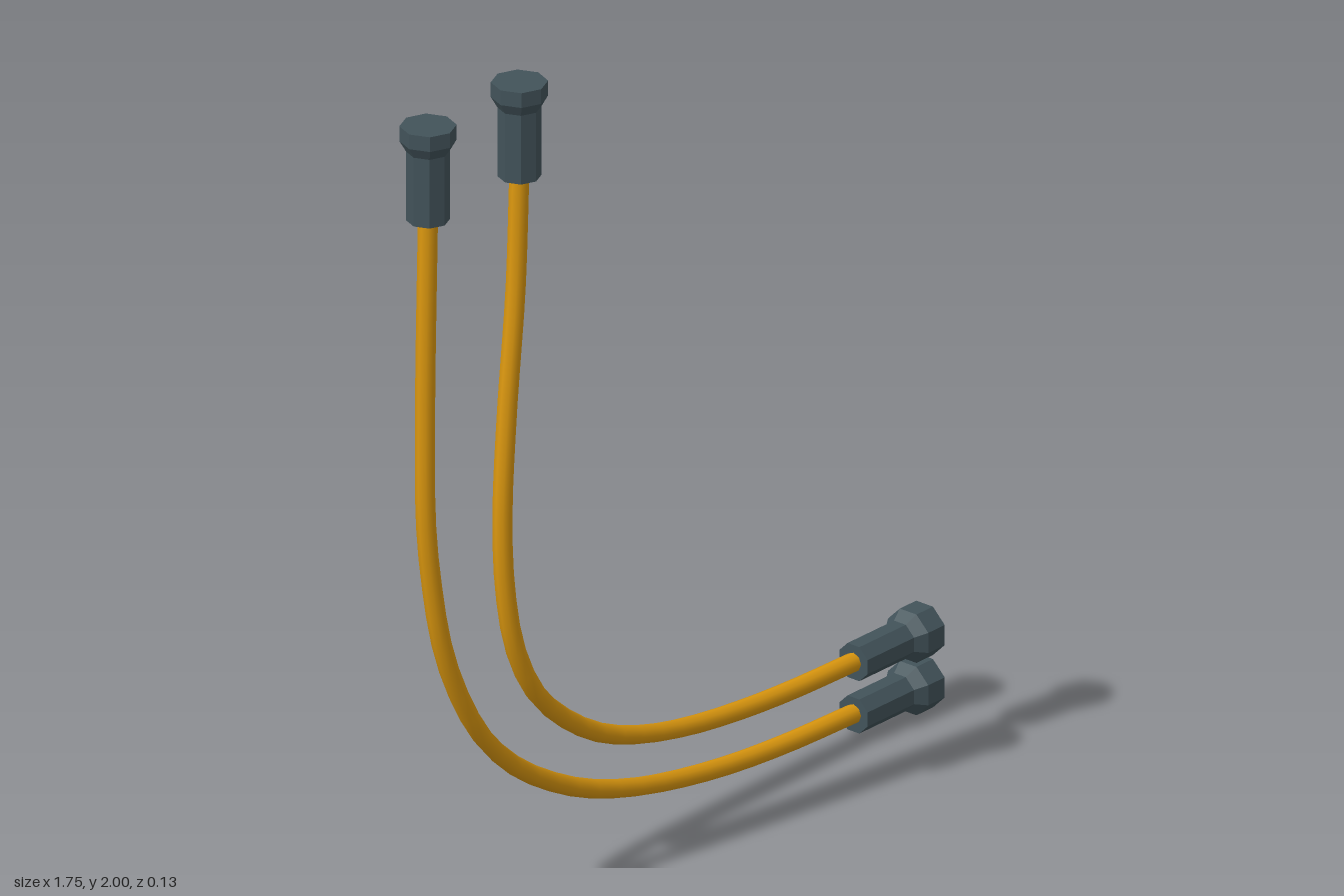
import * as THREE from 'three';

const cableOrange = new THREE.MeshStandardMaterial({ color: 0xdc980f });
cableOrange.name = 'cableOrange';
const connectorGrey = new THREE.MeshStandardMaterial({ color: 0x42535a, flatShading: true });
connectorGrey.name = 'connectorGrey';

// Bent cable following a smooth path in the XY plane
function cable(name, points) {
  const path = new THREE.CatmullRomCurve3(points.map(([x, y]) => new THREE.Vector3(x, y, 0)));
  const mesh = new THREE.Mesh(new THREE.TubeGeometry(path, 36, 0.0225, 8), cableOrange);
  mesh.name = name;
  return mesh;
}

// Eight-sided end fitting: sleeve, flare and cap, growing along +y from its base
function connector(name, length, sleeveRadius, flareStart, capStart, turn) {
  const profile = [
    [0, 0], [sleeveRadius, 0], [sleeveRadius, flareStart],
    [0.064, capStart], [0.064, length], [0, length],
  ].map(([r, y]) => new THREE.Vector2(r, y));
  const mesh = new THREE.Mesh(new THREE.LatheGeometry(profile, 8, turn), connectorGrey);
  mesh.name = name;
  return mesh;
}

export function createModel() {
  const model = new THREE.Group();
  model.name = 'cablePair';

  // Two cables, ends tucked slightly into their connectors
  model.add(cable('outerCable', [
    [-0.813, 1.79], [-0.823, 1.3], [-0.82, 1.03], [-0.8, 0.87], [-0.765, 0.71], [-0.71, 0.575],
    [-0.63, 0.445], [-0.52, 0.335], [-0.39, 0.25], [-0.265, 0.19], [-0.12, 0.143],
    [0.02, 0.112], [0.2, 0.085], [0.4, 0.069], [0.66, 0.062],
  ]));
  model.add(cable('innerCable', [
    [-0.502, 1.79], [-0.515, 1.5], [-0.545, 1.2], [-0.56, 0.95], [-0.55, 0.77], [-0.515, 0.615],
    [-0.445, 0.485], [-0.34, 0.385], [-0.22, 0.31], [-0.09, 0.262],
    [0.06, 0.228], [0.24, 0.205], [0.42, 0.193], [0.66, 0.188],
  ]));

  // Upright connectors at the top
  for (const [name, x] of [['outerTopConnector', -0.813], ['innerTopConnector', -0.502]]) {
    const end = connector(name, 0.23, 0.049, 0.168, 0.194, 0);
    end.position.set(x, 1.77, 0);
    model.add(end);
  }

  // Sideways connectors at the bottom
  for (const [name, y] of [['outerSideConnector', 0.06], ['innerSideConnector', 0.188]]) {
    const end = connector(name, 0.242, 0.045, 0.158, 0.186, Math.PI / 8);
    end.position.set(0.634, y, 0);
    end.rotation.z = -Math.PI / 2;
    model.add(end);
  }
  return model;
}
